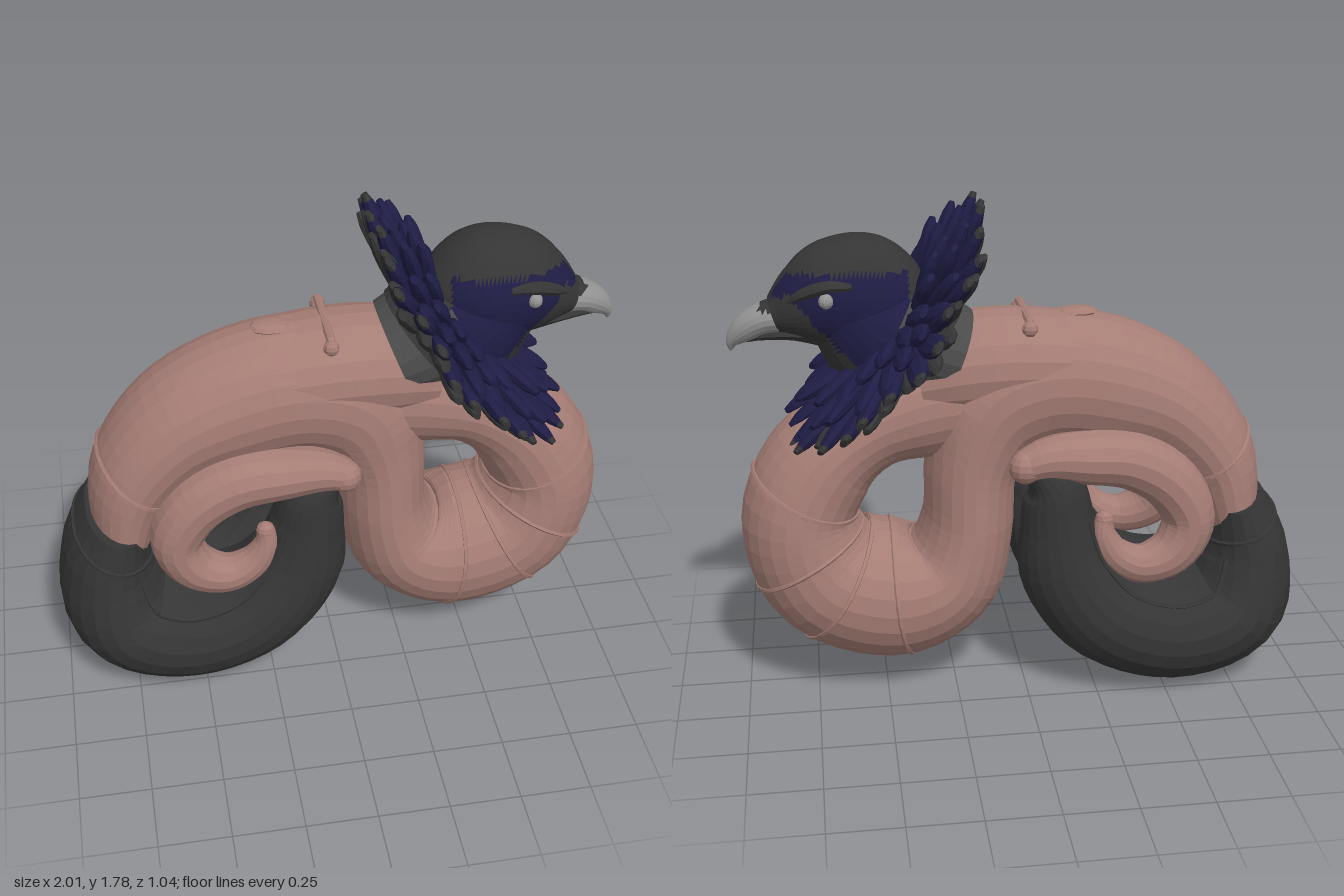
import * as THREE from 'three';

const mat = (name, color) => {
  const m = new THREE.MeshStandardMaterial({ color, flatShading: true });
  m.name = name;
  return m;
};

// Spline through [x, y, z, radius in the xy plane, radius along z]
function makePath(pts, s = 1) {
  const line = new THREE.CatmullRomCurve3(pts.map(p => new THREE.Vector3(p[0], p[1], p[2] * s)), false, 'catmullrom', 0.5);
  const size = new THREE.CatmullRomCurve3(pts.map(p => new THREE.Vector3(p[3], p[4], 0)), false, 'catmullrom', 0.5);
  const section = (t, a, grow = 1) => {
    const c = line.getPoint(t), d = line.getTangent(t), r = size.getPoint(t);
    const l = Math.hypot(d.x, d.y) || 1, k = Math.cos(a) * r.x * grow;
    return new THREE.Vector3(c.x - d.y / l * k, c.y + d.x / l * k, c.z + Math.sin(a) * r.y * grow);
  };
  return { line, section };
}

// Elliptical sweep with closed ends; pick() may choose a material per face
function sweep(path, n, m, pick = () => 0) {
  const pos = [], lists = [[], []];
  for (let i = 0; i <= n; i++)
    for (let j = 0; j < m; j++) pos.push(...path.section(i / n, j / m * Math.PI * 2).toArray());
  const first = pos.length / 3;
  pos.push(...path.line.getPoint(0).toArray(), ...path.line.getPoint(1).toArray());
  const face = (a, b, c) => {
    const mid = k => (pos[a * 3 + k] + pos[b * 3 + k] + pos[c * 3 + k]) / 3;
    lists[pick(mid(0), mid(1), mid(2))].push(a, b, c);
  };
  for (let j = 0; j < m; j++) {
    const k = (j + 1) % m;
    for (let i = 0; i < n; i++) {
      const a = i * m + j, b = i * m + k;
      face(a, b, a + m);
      face(b, b + m, a + m);
    }
    face(first, k, j);
    face(first + 1, n * m + j, n * m + k);
  }
  const g = new THREE.BufferGeometry();
  g.setAttribute('position', new THREE.Float32BufferAttribute(pos, 3));
  g.setIndex([...lists[0], ...lists[1]]);
  g.addGroup(0, lists[0].length, 0);
  g.addGroup(lists[0].length, lists[1].length, 1);
  g.computeVertexNormals();
  return g;
}

export function createModel() {
  const model = new THREE.Group();
  const skin = mat('dusty pink skin', 0xa57d75);
  const black = mat('charcoal', 0x353535);
  const navy = mat('navy feather', 0x1f1d44);
  const grey = mat('beak grey', 0x929292);
  const collarGrey = mat('collar grey', 0x4c4c4c);
  const add = (name, geo, material, parent = model) => {
    const mesh = new THREE.Mesh(geo, material);
    mesh.name = name;
    parent.add(mesh);
    return mesh;
  };

  // Body: thick arch, then a loop that returns to the neck
  const body = makePath([
    [-0.76, 0.60, 0, 0.11, 0.23], [-0.70, 0.83, 0, 0.155, 0.23], [-0.54, 1.015, 0, 0.195, 0.23],
    [-0.34, 1.10, 0, 0.235, 0.23], [-0.10, 1.135, 0, 0.245, 0.23], [0.09, 1.06, 0, 0.24, 0.23],
    [0.175, 0.85, 0, 0.17, 0.23], [0.195, 0.60, 0, 0.165, 0.25], [0.27, 0.42, 0, 0.20, 0.265],
    [0.46, 0.36, 0, 0.25, 0.27], [0.70, 0.44, 0, 0.235, 0.265], [0.79, 0.66, 0, 0.205, 0.25],
    [0.70, 0.87, 0, 0.195, 0.22], [0.53, 0.995, 0, 0.165, 0.185], [0.34, 1.06, 0, 0.195, 0.19],
    [0.18, 1.08, 0, 0.19, 0.19],
  ]);
  add('body', sweep(body, 75, 24), skin);
  // Upper back, rounding the join between arch and neck
  add('upperBack', sweep(makePath([
    [-0.25, 1.18, 0, 0.18, 0.21], [0.0, 1.2, 0, 0.19, 0.22], [0.2, 1.19, 0, 0.19, 0.21], [0.36, 1.16, 0, 0.15, 0.18],
  ]), 14, 20), skin);

  // Skin folds around the body
  const fold = (path, t, slant, material, name) => {
    const ring = [];
    for (let j = 0; j < 24; j++) {
      const a = j / 24 * Math.PI * 2;
      ring.push(path.section(t + slant * Math.cos(a), a, 0.992));
    }
    add(name, new THREE.TubeGeometry(new THREE.CatmullRomCurve3(ring, true), 40, 0.009, 5, true), material);
  };
  [[0.07, 0.006], [0.6, 0.012], [0.65, -0.006], [0.7, 0.008], [0.76, -0.006]]
    .forEach(([t, s]) => fold(body, t, s, skin, 'skinFold'));

  // Paired coils and the dark lower body, merged at the back and parting towards the tips
  for (const s of [1, -1]) {
    const side = s > 0 ? 'left' : 'right';
    const dark = makePath([
      [-0.77, 0.68, 0.02, 0.115, 0.235], [-0.81, 0.47, 0.02, 0.18, 0.28], [-0.76, 0.28, 0.045, 0.225, 0.305],
      [-0.54, 0.215, 0.105, 0.21, 0.265], [-0.30, 0.29, 0.14, 0.195, 0.225], [-0.15, 0.47, 0.16, 0.175, 0.18],
      [-0.11, 0.66, 0.18, 0.135, 0.14], [-0.09, 0.80, 0.2, 0.105, 0.11], [-0.02, 0.89, 0.22, 0.04, 0.06],
    ], s);
    add(side + 'DarkLowerBody', sweep(dark, 40, 22), black);
    fold(dark, 0.06, 0.006, black, side + 'DarkCuff');

    // Lengthwise crease on the outer flank
    const crease = [];
    for (let i = 0; i <= 12; i++) crease.push(dark.section(0.1 + i * 0.055, (0.95 - 0.02 * i) * s, 0.995));
    add(side + 'DarkCrease', new THREE.TubeGeometry(new THREE.CatmullRomCurve3(crease), 30, 0.009, 5), black);

    const coil = makePath([
      [0.03, 0.89, 0.24, 0.055, 0.06], [-0.07, 0.915, 0.225, 0.075, 0.085], [-0.20, 0.905, 0.2, 0.095, 0.11],
      [-0.36, 0.885, 0.195, 0.105, 0.115], [-0.50, 0.80, 0.195, 0.105, 0.115], [-0.575, 0.665, 0.2, 0.095, 0.11],
      [-0.525, 0.545, 0.215, 0.085, 0.095], [-0.41, 0.50, 0.23, 0.07, 0.075], [-0.315, 0.54, 0.235, 0.06, 0.06],
      [-0.265, 0.62, 0.24, 0.045, 0.045], [-0.265, 0.70, 0.24, 0.028, 0.028],
    ], s);
    add(side + 'Coil', sweep(coil, 44, 14), skin);
    const knob = add(side + 'CoilKnob', new THREE.SphereGeometry(0.058, 12, 8), skin);
    knob.position.set(0.015, 0.895, 0.25 * s);
    const tip = add(side + 'CoilTip', new THREE.SphereGeometry(0.034, 10, 7), skin);
    tip.position.set(-0.265, 0.68, 0.24 * s);
  }

  // Small raised ridge on the back
  const bar = add('backRidge', new THREE.CapsuleGeometry(0.016, 0.27, 4, 8), skin);
  bar.rotation.x = Math.PI / 2;
  bar.position.set(-0.015, 1.378, 0);
  for (const s of [1, -1]) {
    const end = add('backRidgeEnd', new THREE.SphereGeometry(0.028, 8, 6), skin);
    end.position.set(-0.015, 1.355, 0.145 * s);
  }
  const bump = add('backBump', new THREE.SphereGeometry(0.06, 10, 6), skin);
  bump.scale.set(1.2, 0.3, 0.9);
  bump.position.set(-0.2, 1.372, 0);

  // Collar and neck
  add('collar', sweep(makePath([
    [0.225, 1.245, 0, 0.155, 0.2], [0.32, 1.285, 0, 0.18, 0.208], [0.45, 1.36, 0, 0.19, 0.21],
  ]), 8, 20), collarGrey);
  const blue = (x, y, z) => {
    const w = Math.abs(z);
    const cheek = w > 0.09 && x > 0.39 && y < 1.565 && y > 1.25 + 1.18 * (x - 0.58);
    const browPatch = x > 0.7 && y > 1.475 && y < 1.555 && w > 0.04 && w < 0.1;
    return cheek || browPatch ? 1 : 0;
  };
  add('neck', sweep(makePath([
    [0.36, 1.24, 0, 0.25, 0.23], [0.50, 1.36, 0, 0.225, 0.21], [0.60, 1.45, 0, 0.17, 0.18],
  ]), 18, 32, blue), [black, navy]);

  // Head and beak
  add('head', sweep(makePath([
    [0.325, 1.46, 0, 0.04, 0.05], [0.36, 1.46, 0, 0.11, 0.12], [0.44, 1.46, 0, 0.18, 0.175],
    [0.54, 1.46, 0, 0.21, 0.195], [0.65, 1.455, 0, 0.195, 0.18], [0.75, 1.43, 0, 0.14, 0.145],
    [0.84, 1.40, 0, 0.065, 0.09],
  ]), 48, 40, blue), [black, navy]);
  add('upperBeak', sweep(makePath([
    [0.77, 1.405, 0, 0.07, 0.105], [0.87, 1.39, 0, 0.055, 0.08], [0.94, 1.355, 0, 0.048, 0.055],
    [0.983, 1.315, 0, 0.025, 0.028], [0.992, 1.28, 0, 0.005, 0.006],
  ]), 24, 18, (x, y) => (x < 0.89 && y > 1.425 ? 1 : 0)), [grey, black]);
  add('lowerBeak', sweep(makePath([
    [0.68, 1.34, 0, 0.05, 0.11], [0.78, 1.345, 0, 0.03, 0.095], [0.88, 1.335, 0, 0.02, 0.055], [0.94, 1.315, 0, 0.008, 0.02],
  ]), 10, 12), black);
  for (const s of [1, -1]) {
    add('brow', sweep(makePath([
      [0.58, 1.53, 0.175, 0.012, 0.015], [0.66, 1.53, 0.165, 0.022, 0.03],
      [0.74, 1.50, 0.135, 0.02, 0.03], [0.80, 1.46, 0.1, 0.008, 0.012],
    ], s), 10, 8), black);
    const eye = add('eye', new THREE.SphereGeometry(0.026, 10, 8), grey);
    eye.position.set(0.665, 1.485, 0.172 * s);
  }

  // Feather ruff: staggered rings of blunt feathers, tilted with the neck, longer below
  const ruff = new THREE.Group();
  ruff.name = 'featherRuff';
  model.add(ruff);
  const n = new THREE.Vector3(0.78, 0.626, 0), u = new THREE.Vector3(-0.626, 0.78, 0);
  const z = new THREE.Vector3(0, 0, 1), hub = new THREE.Vector3(0.40, 1.32, 0);
  const leaf = sweep(makePath([
    [-1, 0, 0, 0.4, 0.4], [-0.4, 0, 0, 0.8, 0.9], [0.2, 0, 0, 1, 1], [0.7, 0, 0, 0.9, 0.85], [1, 0, 0, 0.4, 0.35],
  ]), 10, 8, x => (x > 0.86 ? 1 : 0));
  const ringOf = (name, count, inner, outer, lift, width, shift, material) => {
    for (let i = 0; i < count; i++) {
      const a = (i + shift) / count * Math.PI * 2, low = Math.max(0, -Math.cos(a));
      const dir = u.clone().multiplyScalar(Math.cos(a)).addScaledVector(z, Math.sin(a));
      const R = outer + 0.012 * Math.sin(i * 2.4) + 0.035 * low;
      const bend = 0.07 * Math.cos(a) ** 2 + lift + 0.025 * low;
      const base = hub.clone().addScaledVector(dir, inner).addScaledVector(n, lift * 0.8 - 0.02 + 0.03 * low);
      const end = hub.clone().addScaledVector(dir, R).addScaledVector(n, bend + 0.018 * Math.sin(i * 1.7));
      const along = end.clone().sub(base), len = along.length();
      along.normalize();
      const across = new THREE.Vector3().crossVectors(n, along).normalize();
      const up = new THREE.Vector3().crossVectors(along, across);
      const f = add(name, leaf, material, ruff);
      f.quaternion.setFromRotationMatrix(new THREE.Matrix4().makeBasis(along, across, up));
      f.position.copy(base).add(end).multiplyScalar(0.5);
      f.scale.set(len / 2, width, 0.028);
    }
  };
  ringOf('backFeather', 28, 0.14, 0.48, -0.03, 0.045, 0.5, black);
  ringOf('outerFeather', 28, 0.16, 0.52, 0, 0.047, 0, [navy, black]);
  ringOf('middleFeather', 26, 0.14, 0.46, 0.035, 0.045, 0.5, navy);
  ringOf('innerFeather', 22, 0.12, 0.37, 0.065, 0.045, 0, navy);
  return model;
}
